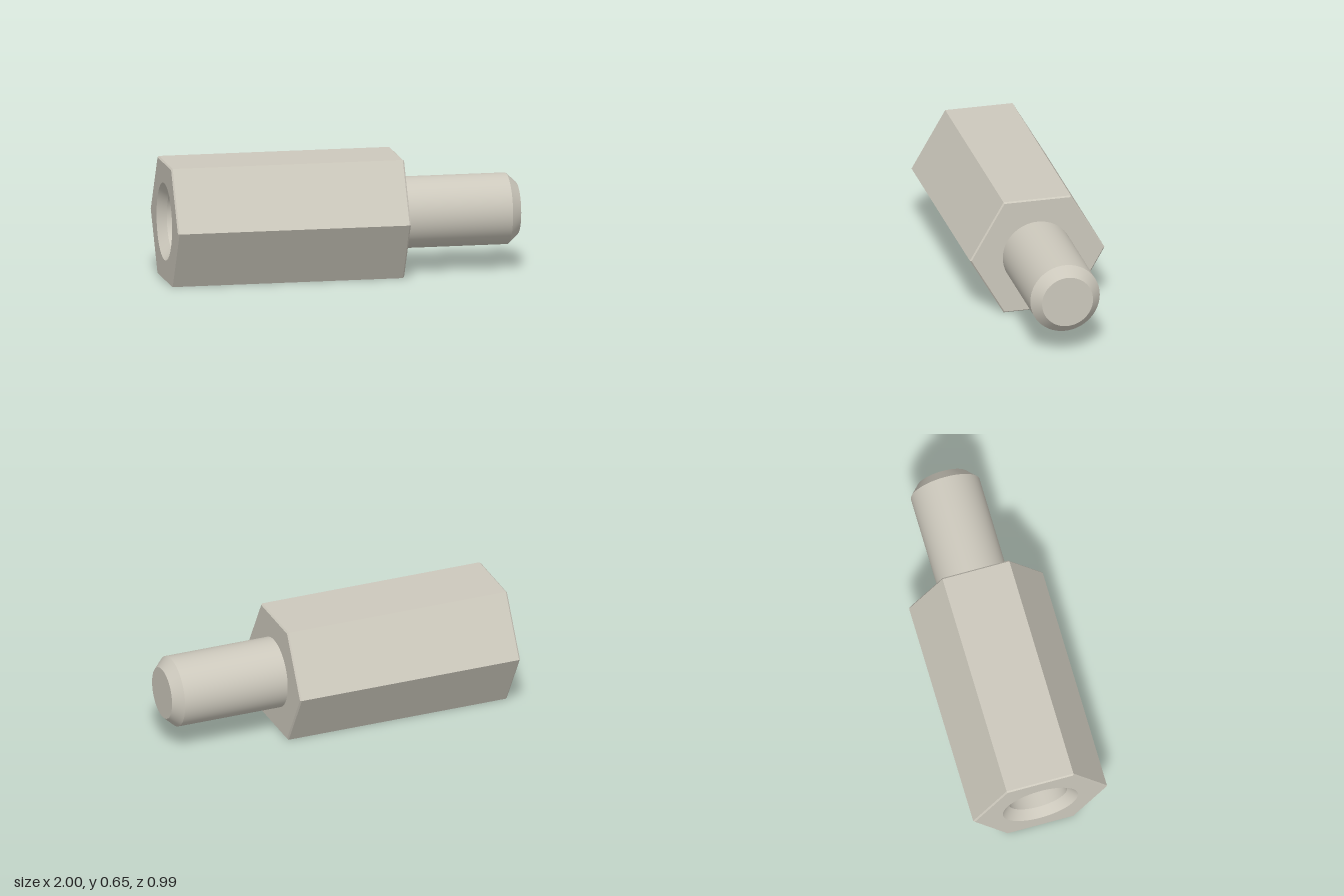
import * as THREE from 'three';
import { toCreasedNormals } from 'three/addons/utils/BufferGeometryUtils.js';

const APOTHEM = 0.324;                    // half the distance across flats
const R = APOTHEM / Math.cos(Math.PI / 6); // hex corner radius
const BODY = 1.28, TOTAL = 1.932;          // lengths along the axis
const BEVEL = 0.008;
const MOUTH = 0.21, BORE = 0.163, DEPTH = 0.85;

// Turned part around the y axis, keeping edges sharp
function turned(name, points, segments, material) {
  const profile = points.map(([r, y]) => new THREE.Vector2(r, y));
  const geometry = toCreasedNormals(new THREE.LatheGeometry(profile, segments), 0.4);
  const mesh = new THREE.Mesh(geometry, material);
  mesh.name = name;
  return mesh;
}

export function createModel() {
  const metal = new THREE.MeshStandardMaterial({ color: 0xccc8bc });
  metal.name = 'satin metal';

  const standoff = new THREE.Group();
  standoff.name = 'hexStandoff';

  // Hexagonal body with fine bevels and a closed front end
  standoff.add(turned('hexBody', [
    [R - BEVEL, 0], [R, BEVEL], [R, BODY - BEVEL], [R - BEVEL, BODY], [0, BODY],
  ], 6, metal));

  // Back end face, pierced by the hole
  const face = new THREE.Shape();
  for (let i = 0; i < 6; i++) {
    const a = (i * Math.PI) / 3, r = R - BEVEL;
    if (i === 0) face.moveTo(0, r);
    else face.lineTo(-r * Math.sin(a), r * Math.cos(a));
  }
  face.closePath();
  const hole = new THREE.Path();
  hole.absarc(0, 0, MOUTH, 0, Math.PI * 2, true);
  face.holes.push(hole);
  const backFace = new THREE.Mesh(new THREE.ShapeGeometry(face, 32).rotateX(Math.PI / 2), metal);
  backFace.name = 'backFace';
  standoff.add(backFace);

  // Countersunk blind hole
  standoff.add(turned('countersunkBore', [
    [0, DEPTH], [BORE, DEPTH], [BORE, 0.047], [MOUTH, 0],
  ], 64, metal));

  // Round stud with chamfered tip
  standoff.add(turned('stud', [
    [0.193, BODY - 0.01], [0.193, TOTAL - 0.055], [0.1415, TOTAL], [0, TOTAL],
  ], 64, metal));

  // Lay the axis down along x, then turn it 12 degrees in plan
  standoff.rotation.z = -Math.PI / 2;
  standoff.position.x = -0.946;
  const turn = new THREE.Group();
  turn.name = 'turnedStandoff';
  turn.add(standoff);
  turn.rotation.y = -THREE.MathUtils.degToRad(12);
  turn.position.set(0.003, APOTHEM, 0.06);

  const model = new THREE.Group();
  model.name = 'standoffModel';
  model.add(turn);
  return model;
}
